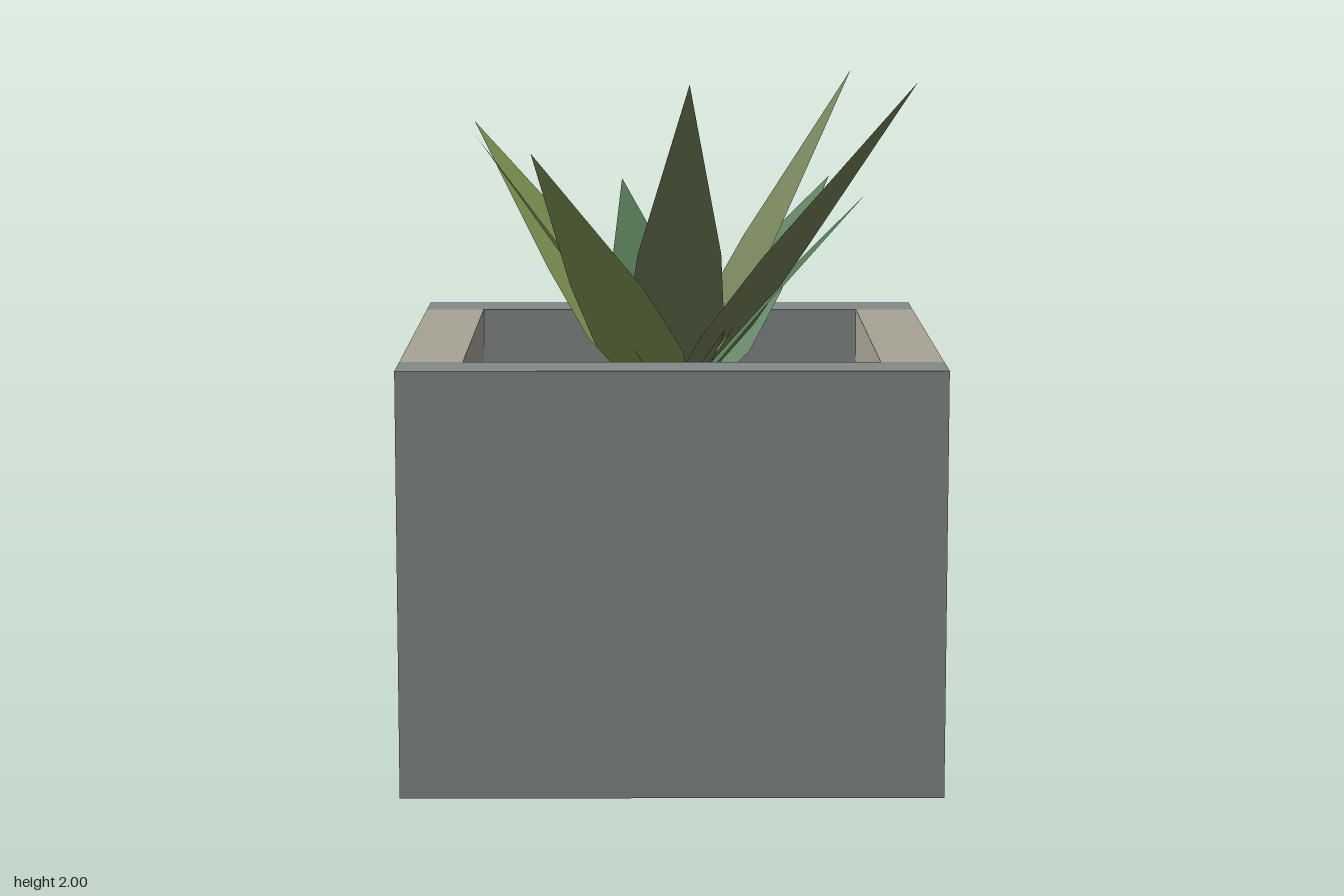
import * as THREE from 'three';

const HALF = 0.77, INNER = 0.59, TOP = 1.22, BASE = 0.19, SOIL = 1.0;

function material(color, doubleSided = false) {
  return new THREE.MeshStandardMaterial({
    color, flatShading: true, side: doubleSided ? THREE.DoubleSide : THREE.FrontSide,
  });
}

function box(name, size, position, mat) {
  const mesh = new THREE.Mesh(new THREE.BoxGeometry(...size), mat);
  mesh.position.set(...position);
  mesh.name = name;
  return mesh;
}

// Flat pointed blade growing along +x, from cross-sections [fraction of length, half width, lift]
const SECTIONS = [[0, 0.07, 0], [0.24, 0.147, 0.005], [0.478, 0.122, 0.012], [1, 0, 0]];

function leafGeometry(reach, rise) {
  const points = [], index = [];
  SECTIONS.forEach(([t, w, lift], i) => {
    const x = t * reach, y = t * rise + lift;
    points.push(x, y, w, x, y, -w);
    if (i > 0) {
      const a = 2 * i - 2;
      index.push(a, a + 2, a + 1);
      if (w > 0) index.push(a + 1, a + 2, a + 3);
    }
  });
  const geometry = new THREE.BufferGeometry();
  geometry.setAttribute('position', new THREE.Float32BufferAttribute(points, 3));
  geometry.setIndex(index);
  geometry.computeVertexNormals();
  return geometry;
}

export function createModel() {
  const model = new THREE.Group();
  model.name = 'pottedPlant';

  // Square planter: grey floor, front and back, with paler side panels
  const grey = material(0x848a88), pale = material(0xa8a494);
  const wall = HALF - INNER, mid = (HALF + INNER) / 2;
  const planter = new THREE.Group();
  planter.name = 'planter';
  planter.add(box('planterFloor', [2 * HALF, BASE, 2 * INNER], [0, BASE / 2, 0], grey));
  for (const s of [1, -1]) {
    planter.add(box(s > 0 ? 'frontWall' : 'backWall',
      [2 * HALF, TOP, wall], [0, TOP / 2, s * mid], grey));
    planter.add(box(s > 0 ? 'leftPanel' : 'rightPanel',
      [wall, TOP - BASE, 2 * INNER], [s * mid, (TOP + BASE) / 2, 0], pale));
  }
  model.add(planter);

  // Soil
  model.add(box('soil', [2 * INNER, SOIL - BASE, 2 * INNER], [0, (SOIL + BASE) / 2, 0],
    material(0x74533a)));

  // Three clumps of three leaves; headings in degrees from +x towards +z, with reach
  const clumps = [
    { name: 'tallLeaf', tip: 2.0, color: 0x76835a, leaves: [[-20, 0.58], [32.7, 0.83], [85, 0.575]] },
    { name: 'middleLeaf', tip: 1.82, color: 0x8aa05c, leaves: [[118, 0.83], [170, 0.58], [222.5, 0.83]] },
    { name: 'shortLeaf', tip: 1.64, color: 0x557a56, leaves: [[255, 0.58], [307.5, 0.83], [0, 0.58]] },
  ];
  const plant = new THREE.Group();
  plant.name = 'leaves';
  for (const { name, tip, color, leaves } of clumps) {
    const mat = material(color, true);
    leaves.forEach(([heading, reach], i) => {
      const leaf = new THREE.Mesh(leafGeometry(reach, tip - SOIL), mat);
      leaf.position.y = SOIL;
      leaf.rotation.y = -THREE.MathUtils.degToRad(heading);
      leaf.name = name + (i + 1);
      plant.add(leaf);
    });
  }
  model.add(plant);
  return model;
}
